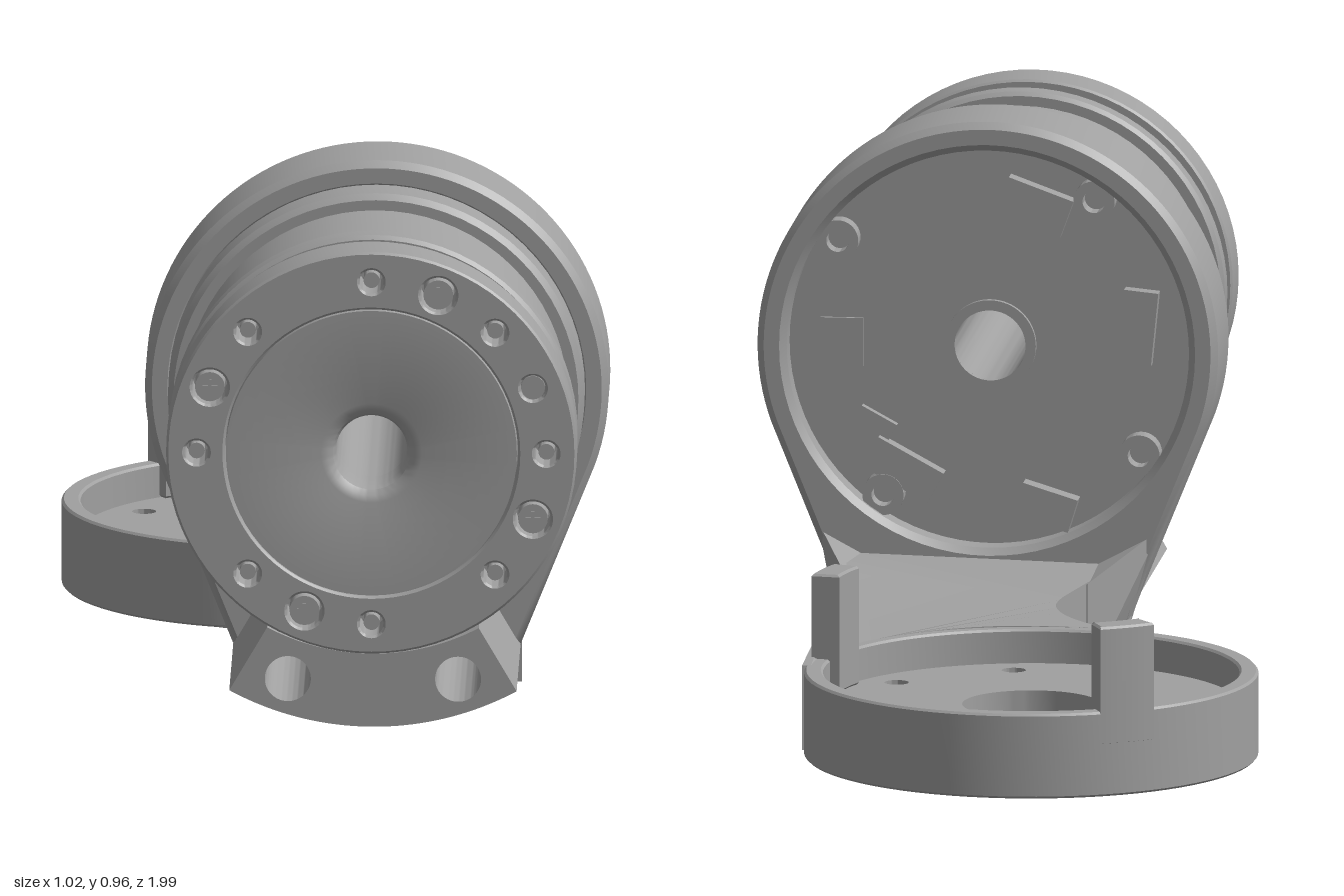
import * as THREE from 'three';
import { toCreasedNormals } from 'three/addons/utils/BufferGeometryUtils.js';
import { ConvexGeometry } from 'three/addons/geometries/ConvexGeometry.js';

const PI = Math.PI;
const metal = new THREE.MeshStandardMaterial({ color: 0xa0a0a0 });
metal.name = 'grey metal';

function add(parent, name, geo, crease = 0.5) {
  const mesh = new THREE.Mesh(toCreasedNormals(geo, crease), metal);
  mesh.name = name;
  parent.add(mesh);
  return mesh;
}

const circle = (r, x = 0, y = 0) => new THREE.Path().absarc(x, y, r, 0, 2 * PI, false);

function disc(r, holes = []) {
  const s = new THREE.Shape().absarc(0, 0, r, 0, 2 * PI, false);
  s.holes.push(...holes);
  return s;
}

// Extrusion along +z from z0 to z1, with an optional chamfer kept inside the outline
function slab(shape, z0, z1, chamfer = 0) {
  const g = new THREE.ExtrudeGeometry(shape, {
    depth: z1 - z0 - 2 * chamfer, curveSegments: 40, bevelEnabled: chamfer > 0,
    bevelSize: chamfer, bevelThickness: chamfer, bevelOffset: -chamfer, bevelSegments: 1,
  });
  return g.translate(0, 0, z0 + chamfer);
}

// Extrusion of a plan outline (x, -z) upwards
const upright = (shape, y0, y1, chamfer = 0) => slab(shape, y0, y1, chamfer).rotateX(-PI / 2);

// Lathe around the z axis, profile given as [radius, z]
const turned = (pts) => new THREE.LatheGeometry(pts.map(p => new THREE.Vector2(...p)), 72).rotateX(PI / 2);

// Cylinder along z
const pin = (r, x, y, z0, z1) =>
  new THREE.CylinderGeometry(r, r, z1 - z0, 20).rotateX(PI / 2).translate(x, y, (z0 + z1) / 2);

function box(w, h, d, x, y, z) {
  return new THREE.BoxGeometry(w, h, d).translate(x, y, z);
}

function buildBase(root) {
  const base = new THREE.Group();
  base.name = 'base dish';
  base.position.set(0.11, 0, -0.61);
  root.add(base);

  // Floor with bore and bolt holes, and the rim around it
  const holes = [circle(0.12)];
  for (let i = 0; i < 8; i++) {
    const a = 0.08 + i * PI / 4;
    holes.push(circle(0.021, 0.302 * Math.cos(a), -0.302 * Math.sin(a)));
  }
  add(base, 'dish floor', upright(disc(0.375, holes), 0, 0.09));
  add(base, 'dish rim', upright(disc(0.395, [circle(0.362)]), 0, 0.15, 0.004));

  // Two upright tabs on the rim
  for (const a of [1.83, -0.57]) {
    const s = new THREE.Shape();
    s.absarc(0, 0, 0.395, a - 0.13, a + 0.13, false);
    s.absarc(0, 0, 0.345, a + 0.13, a - 0.13, true);
    add(base, 'rim tab', upright(s, 0.09, 0.3, 0.004));
  }
}

function buildArm(root) {
  const s = new THREE.Shape();
  s.moveTo(0.273, -0.292);
  s.lineTo(0.298, -0.143);
  s.lineTo(0.495, 0.5);
  for (let i = 0; i <= 20; i++) {
    const a = 0.29 + (2.28 - 0.29) * i / 20;
    s.lineTo(0.11 + 0.385 * Math.cos(a), 0.61 - 0.385 * Math.sin(a));
  }
  s.splineThru([[-0.065, 0.235], [-0.03, 0.17], [-0.025, 0.11], [-0.045, 0.06]].map(p => new THREE.Vector2(...p)));
  s.lineTo(-0.107, -0.03);
  s.lineTo(-0.205, -0.146);
  const g = slab(s, 0, 0.15).rotateX(-PI / 2);
  // The top climbs gently towards the cradle
  const p = g.attributes.position;
  for (let i = 0; i < p.count; i++) {
    if (p.getY(i) > 0.1) p.setY(i, 0.15 + 0.08 * Math.max(0, p.getZ(i) + 0.25));
  }
  add(root, 'arm', g);
}

function buildCradle(head) {
  const c = 0.555;
  const hull = (pts) => new ConvexGeometry(pts.map(q => new THREE.Vector3(...q)));

  // Housing ring with tangent feet
  const s = new THREE.Shape();
  s.absarc(0, 0, 0.403, -0.35, PI + 0.35, false);
  s.lineTo(-0.25, -0.456);
  s.absarc(0, 0, 0.52, -PI / 2 - 0.501, -PI / 2 + 0.501, false);
  s.closePath();
  s.holes.push(circle(0.352));
  add(head, 'housing ring', slab(s, 0, 0.18, 0.012).translate(0, c, 0));

  // Gussets between arm and ring, and the sloping underside
  for (const [side, w] of [[-1, 0.19], [1, 0.23]]) {
    add(head, 'gusset', hull([
      [side * 0.30, 0.24, 0.03], [side * 0.17, 0.17, 0.03], [side * 0.25, 0.08, 0.03],
      [side * w, 0.17, -0.125], [side * w, 0, -0.125], [side * 0.22, 0, 0.02], [side * 0.1, 0.1, -0.1],
    ]), 0.1);
  }
  add(head, 'underside wedge', hull([
    [-0.22, 0, 0], [0.22, 0, 0], [-0.25, 0.1, 0], [0.25, 0.1, 0], [-0.25, 0.1, 0.18], [0.25, 0.1, 0.18],
    [-0.13, 0.055, 0.18], [0.13, 0.055, 0.18], [0, 0.036, 0.18], [-0.2, 0.15, 0.1], [0.2, 0.15, 0.1],
  ]), 0.1);

  // Forward mounting block with two bores
  const b = new THREE.Shape();
  b.absarc(0, 0, 0.52, -PI / 2 - 0.501, -PI / 2 + 0.501, false);
  b.absarc(0, 0, 0.39, -PI / 2 + 0.491, -PI / 2 - 0.491, true);
  b.closePath();
  b.holes.push(circle(0.04, -0.148, -0.435), circle(0.04, 0.148, -0.435));
  add(head, 'mounting block', slab(b, 0.16, 0.56).translate(0, c, 0));
}

function buildMotor(head) {
  const motor = new THREE.Group();
  motor.name = 'motor';
  motor.position.y = 0.555;
  head.add(motor);

  // Stepped body with a through bore
  add(motor, 'motor body', turned([
    [0.062, 0.62], [0.062, 0.055], [0.354, 0.055], [0.354, 0.18], [0.362, 0.18], [0.362, 0.25], [0.352, 0.262],
    [0.334, 0.262], [0.334, 0.505], [0.326, 0.505], [0.326, 0.52], [0.348, 0.52], [0.355, 0.527],
    [0.355, 0.563], [0.348, 0.57], [0.33, 0.57], [0.33, 0.625], [0.062, 0.625],
  ]));

  // Output flange: bolt holes, screws and one locating hole
  const at = (deg, r = 0.304) => [r * Math.cos(deg * PI / 180), r * Math.sin(deg * PI / 180)];
  const holes = [circle(0.255)];
  for (let i = 0; i < 8; i++) holes.push(circle(0.021, ...at(i * 45)));
  const screws = [67.5, 157.5, 247.5, 337.5];
  for (const a of screws) holes.push(circle(0.031, ...at(a)));
  holes.push(circle(0.022, ...at(22.5)));
  add(motor, 'output flange', slab(disc(0.357, holes), 0.622, 0.717, 0.004));
  for (let i = 0; i < 8; i++) add(motor, 'bolt', pin(0.014, ...at(i * 45), 0.62, 0.7));
  for (const a of screws) {
    const [x, y] = at(a);
    const screw = new THREE.Group();
    screw.name = 'screw';
    add(screw, 'screw head', pin(0.026, x, y, 0.62, 0.713));
    add(screw, 'screw slot', box(0.026, 0.006, 0.004, x, y, 0.714));
    add(screw, 'screw slot', box(0.006, 0.026, 0.004, x, y, 0.714));
    motor.add(screw);
  }
  add(motor, 'locating pin', pin(0.021, ...at(22.5), 0.62, 0.711));

  // Centre plate with rounded bore mouth
  add(motor, 'centre plate', turned([
    [0.253, 0.63], [0.253, 0.717], [0.088, 0.717], [0.076, 0.713], [0.067, 0.705], [0.062, 0.69], [0.062, 0.62],
  ]));

  // Circuit board parts on the rear face
  const parts = [
    [0.26, 0, 0.075, 0.085, 0.008, 0], [-0.08, 0.25, 0.12, 0.07, 0.035, 0.35],
    [-0.26, 0.04, 0.06, 0.13, 0.03, 0.1], [0.15, -0.22, 0.13, 0.06, 0.035, 0.5],
    [0.2, -0.14, 0.07, 0.03, 0.02, 0.5], [-0.1, -0.28, 0.1, 0.06, 0.04, 0.3],
  ];
  for (const [x, y, w, h, d, turn] of parts) {
    add(motor, 'board connector', new THREE.BoxGeometry(w, h, d).rotateZ(turn).translate(x, y, 0.057 - d / 2));
  }
  add(motor, 'bore collar', slab(disc(0.08, [circle(0.062)]), 0.045, 0.06));

  // Hollow screw bosses inside the ring
  for (const a of [35, 125, 215, 305]) {
    const [x, y] = at(a, 0.322);
    add(motor, 'screw boss', slab(disc(0.036, [circle(0.02)]), 0.02, 0.06).translate(x, y, 0));
  }
}

export function createModel() {
  const root = new THREE.Group();
  root.name = 'actuator joint';
  buildBase(root);
  buildArm(root);

  // Cradle and motor share a frame turned away from the arm
  const head = new THREE.Group();
  head.name = 'motor head';
  head.position.set(0.04, 0, 0.2);
  head.rotation.y = -0.297;
  root.add(head);
  buildCradle(head);
  buildMotor(head);
  return root;
}
